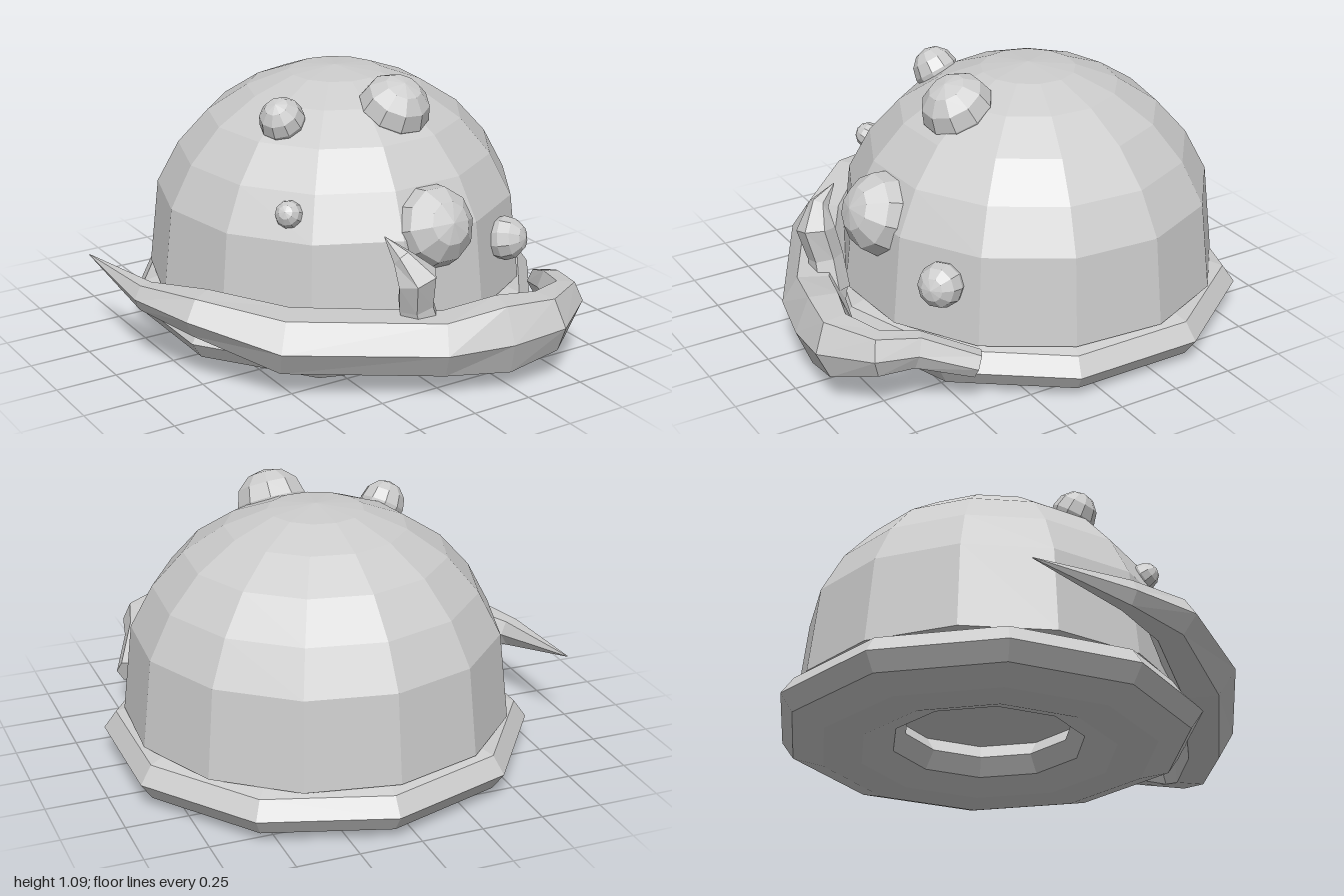
import * as THREE from 'three';

const material = new THREE.MeshStandardMaterial({ color: 0xcccccc, flatShading: true, side: THREE.DoubleSide });
const CENTER = new THREE.Vector3(0.09, 0, -0.14);

function addMesh(group, name, geometry) {
  const mesh = new THREE.Mesh(geometry, material);
  mesh.name = name;
  group.add(mesh);
  return mesh;
}

// Lofts elliptical rings through sections [x, y, z, half width, half height].
function loft(sections, up, sides) {
  const centers = sections.map(s => new THREE.Vector3(s[0], s[1], s[2]));
  const last = sections.length - 1;
  const positions = [];
  const index = [];
  sections.forEach((s, i) => {
    const tangent = centers[Math.min(i + 1, last)].clone().sub(centers[Math.max(i - 1, 0)]).normalize();
    const side = up.clone().cross(tangent).normalize();
    const top = tangent.clone().cross(side);
    for (let j = 0; j < sides; j++) {
      const a = (j / sides) * Math.PI * 2;
      const p = centers[i].clone()
        .addScaledVector(side, Math.cos(a) * s[3])
        .addScaledVector(top, Math.sin(a) * s[4]);
      positions.push(p.x, p.y, p.z);
    }
  });
  for (let i = 0; i < last; i++) {
    for (let j = 0; j < sides; j++) {
      const k = (j + 1) % sides;
      const a = i * sides + j, b = i * sides + k;
      index.push(a, b, a + sides, b, b + sides, a + sides);
    }
  }
  // End caps
  for (let j = 1; j < sides - 1; j++) {
    index.push(0, j + 1, j);
    index.push(last * sides, last * sides + j, last * sides + j + 1);
  }
  const geometry = new THREE.BufferGeometry();
  geometry.setAttribute('position', new THREE.Float32BufferAttribute(positions, 3));
  geometry.setIndex(index);
  geometry.computeVertexNormals();
  return geometry;
}

export function createModel() {
  const group = new THREE.Group();
  group.name = 'domedCreature';

  // Thirteen-sided domed shell with a closed underside
  const profile = [
    [0, 0.18], [0.73, 0.18], [0.775, 0.205], [0.735, 0.56], [0.645, 0.73],
    [0.52, 0.87], [0.36, 0.975], [0.19, 1.04], [0, 1.06],
  ].map(([r, y]) => new THREE.Vector2(r, y));
  const phase = THREE.MathUtils.degToRad(16.9);
  addMesh(group, 'shell', new THREE.LatheGeometry(profile, 13, phase)).position.copy(CENTER);

  // Flattened ten-sided foot ring
  const ring = [];
  for (let i = 0; i <= 10; i++) {
    const a = -Math.PI + (i / 10) * Math.PI * 2;
    ring.push(new THREE.Vector2(0.6 + 0.26 * Math.cos(a), 0.115 + 0.12 * Math.sin(a)));
  }
  addMesh(group, 'footRing', new THREE.LatheGeometry(ring, 10)).position.copy(CENTER);

  // Round bumps pointing away from the shell: x, y, z, radius, stretch
  const bumps = [
    [0.11, 0.57, 0.525, 0.17, 0.98],
    [0.145, 0.96, 0.215, 0.145, 0.9],
    [-0.28, 0.94, 0.07, 0.092, 1.05],
    [-0.4, 0.655, 0.32, 0.055, 1.1],
    [0.5, 0.43, 0.495, 0.09, 1],
  ];
  const heart = new THREE.Vector3(0.09, 0.3, -0.14);
  for (const [x, y, z, r, stretch] of bumps) {
    const bump = addMesh(group, 'bump', new THREE.SphereGeometry(r, 10, 6));
    bump.position.set(x, y, z);
    const outward = bump.position.clone().sub(heart).normalize();
    bump.quaternion.setFromUnitVectors(new THREE.Vector3(0, 1, 0), outward);
    bump.scale.y = stretch;
  }

  // Tail sweeping around the front from its pointed tip
  const tail = [
    [-0.912, 0.35, -0.4, 0.002, 0.002],
    [-0.86, 0.305, 0.0, 0.055, 0.06],
    [-0.75, 0.30, 0.24, 0.105, 0.09],
    [-0.52, 0.225, 0.49, 0.135, 0.125],
    [0.0, 0.205, 0.79, 0.125, 0.125],
    [0.23, 0.215, 0.855, 0.115, 0.16],
    [0.41, 0.24, 0.89, 0.1, 0.13],
    [0.57, 0.26, 0.8, 0.07, 0.09],
    [0.61, 0.255, 0.66, 0.055, 0.075],
    [0.71, 0.185, 0.46, 0.05, 0.055],
  ];
  addMesh(group, 'tail', loft(tail, new THREE.Vector3(0, 1, 0), 6));

  // Hooked spike rising from the tail
  const spike = [
    [-0.03, 0.22, 0.70, 0.08, 0.075],
    [-0.07, 0.35, 0.70, 0.075, 0.07],
    [-0.085, 0.47, 0.73, 0.085, 0.075],
    [-0.13, 0.55, 0.69, 0.04, 0.04],
    [-0.155, 0.61, 0.61, 0.002, 0.002],
  ];
  addMesh(group, 'spike', loft(spike, new THREE.Vector3(0, 0, 1), 6));

  return group;
}
